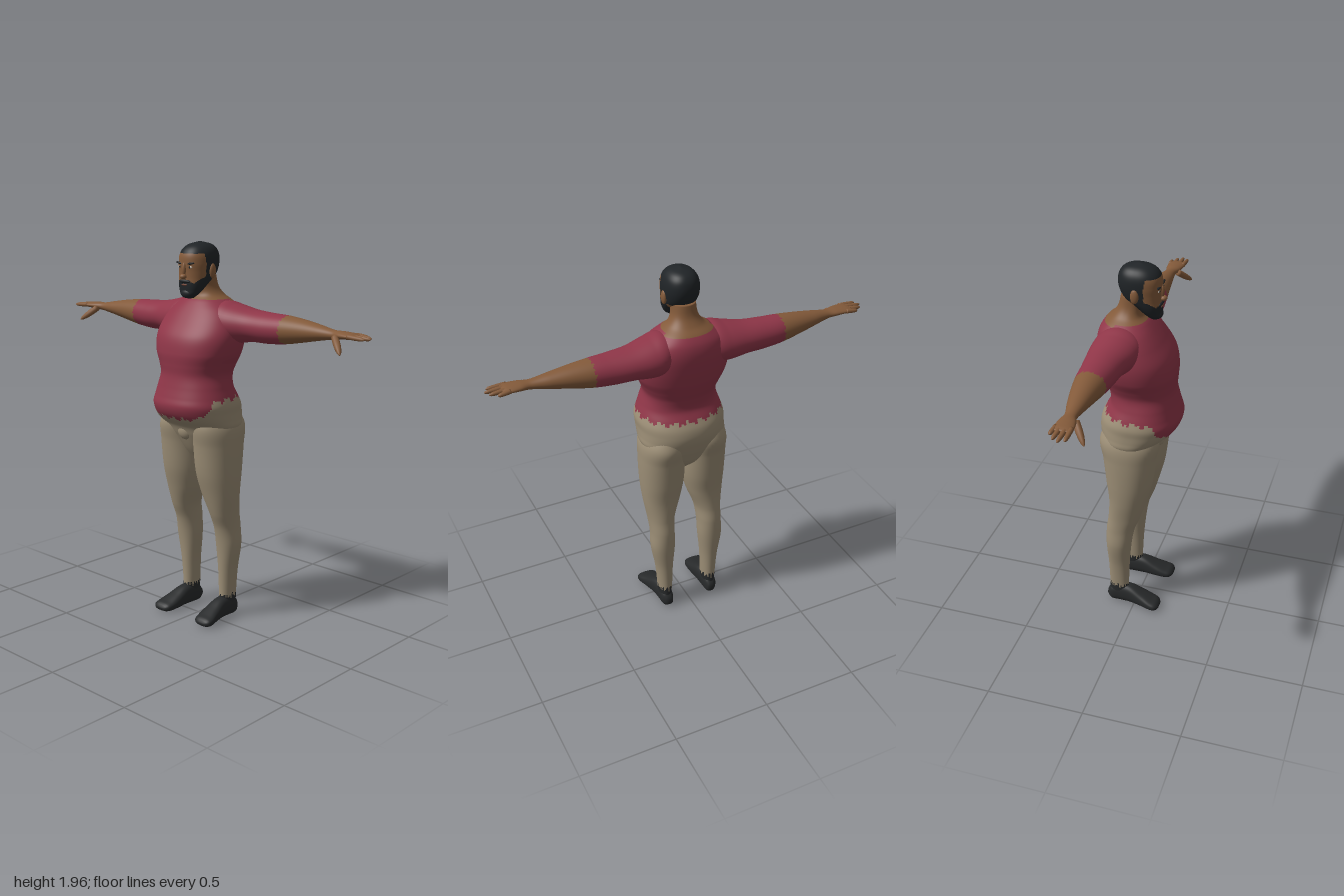
import * as THREE from 'three';

const mat = (name, color) => { const m = new THREE.MeshStandardMaterial({ color }); m.name = name; return m; };
const skin = mat('skin', 0x835a3a);
const shirt = mat('shirt red', 0x8f3648);
const cloth = mat('trouser khaki', 0x9c8e76);
const shoe = mat('shoe black', 0x282a2b);
const hair = mat('hair black', 0x202427);
const white = mat('eye white', 0xb8aea2);
const lip = mat('lip', 0x6b3f30);

// Smooth interpolation of a ring table [t, a0, a1, b0, b1]
function sampleRing(rings, t) {
  let i = 0;
  while (i < rings.length - 2 && t > rings[i + 1][0]) i++;
  const p = rings[i], q = rings[i + 1], h = q[0] - p[0], u = (t - p[0]) / h;
  const o = rings[Math.max(i - 1, 0)], r = rings[Math.min(i + 2, rings.length - 1)];
  return p.map((v, k) => {
    if (!k) return t;
    const m0 = (q[k] - o[k]) / (q[0] - o[0]) * h, m1 = (r[k] - v) / (r[0] - p[0]) * h;
    const u2 = u * u, u3 = u2 * u;
    return (2 * u3 - 3 * u2 + 1) * v + (u3 - 2 * u2 + u) * m0 + (3 * u2 - 2 * u3) * q[k] + (u3 - u2) * m1;
  });
}

// Superellipse loft along axis k (0 x, 1 y, 2 z); pick(x, y, z) chooses a material for each face
function loft(name, k, rings, mats, { pick = () => 0, steps = 40, segs = 40, n = 2 } = {}) {
  const pos = [], lists = mats.map(() => []), t0 = rings[0][0], t1 = rings[rings.length - 1][0];
  for (let i = -1; i <= steps + 1; i++) {
    const f = Math.min(Math.max(i / steps, 0), 1);
    const [t, a0, a1, b0, b1] = sampleRing(rings, t0 + (t1 - t0) * f);
    const size = i < 0 || i > steps ? 0 : 0.5;
    for (let j = 0; j < segs; j++) {
      const w = j / segs * Math.PI * 2, c = Math.cos(w), s = Math.sin(w), p = [];
      p[k] = t;
      p[(k + 2) % 3] = (a0 + a1) / 2 + (a1 - a0) * size * Math.sign(c) * Math.abs(c) ** (2 / n);
      p[(k + 1) % 3] = (b0 + b1) / 2 + (b1 - b0) * size * Math.sign(s) * Math.abs(s) ** (2 / n);
      pos.push(...p);
    }
  }
  for (let i = 0; i < steps + 2; i++) for (let j = 0; j < segs; j++) {
    const j2 = (j + 1) % segs;
    const A = i * segs + j, B = A + segs, C = (i + 1) * segs + j2, D = i * segs + j2;
    const mid = [0, 1, 2].map(d => (pos[A * 3 + d] + pos[B * 3 + d] + pos[C * 3 + d] + pos[D * 3 + d]) / 4);
    lists[pick(...mid)].push(A, B, D, B, C, D);
  }
  const g = new THREE.BufferGeometry();
  g.setAttribute('position', new THREE.Float32BufferAttribute(pos, 3));
  g.setIndex(lists.flat());
  let start = 0;
  lists.forEach((l, m) => { if (mats.length > 1) g.addGroup(start, l.length, m); start += l.length; });
  g.computeVertexNormals();
  return named(name, new THREE.Mesh(g, mats.length > 1 ? mats : mats[0]));
}

const named = (name, o) => { o.name = name; return o; };

function blob(name, material, [x, y, z], [rx, ry, rz], tilt = 0) {
  const g = new THREE.SphereGeometry(1, 20, 14).scale(rx, ry, rz).rotateZ(tilt).translate(x, y, z);
  return named(name, new THREE.Mesh(g, material));
}

// Tapered round finger between two points
function finger(name, from, to, r0, r1) {
  const a = new THREE.Vector3(...from), d = new THREE.Vector3(...to).sub(a), L = d.length();
  const m = loft(name, 1, [[0, -r0, r0, -r0, r0], [L * 0.5, -r0 * 0.95, r0 * 0.95, -r0, r0],
    [L * 0.9, -r1, r1, -r1, r1], [L, -r1 * 0.3, r1 * 0.3, -r1 * 0.3, r1 * 0.3]], [skin], { steps: 10, segs: 12 });
  const q = new THREE.Quaternion().setFromUnitVectors(new THREE.Vector3(0, 1, 0), d.normalize());
  m.geometry.applyQuaternion(q).translate(a.x, a.y, a.z);
  return m;
}

// Copy of a mesh reflected across x = 0
function mirrored(mesh) {
  const g = mesh.geometry.clone().scale(-1, 1, 1), ix = g.index.array;
  for (let i = 0; i < ix.length; i += 3) [ix[i], ix[i + 1]] = [ix[i + 1], ix[i]];
  g.computeVertexNormals();
  return named(mesh.name.replace('left', 'right'), new THREE.Mesh(g, mesh.material));
}

const sym = rows => rows.map(([y, w, back, front]) => [y, -w, w, back, front]);
const ragged = a => Math.sin(a * 17) * 0.6 + Math.sin(a * 41 + 1) * 0.4;

export function createModel() {
  const model = named('figure', new THREE.Group());

  // Torso: trousers below the ragged hem, skin above the neckline
  model.add(loft('torso', 1, sym([
    [0.86, 0.04, -0.07, 0.03], [0.92, 0.11, -0.13, 0.07], [1.0, 0.2, -0.17, 0.11], [1.05, 0.226, -0.188, 0.135],
    [1.085, 0.226, -0.198, 0.175], [1.12, 0.225, -0.2, 0.2], [1.16, 0.226, -0.192, 0.21], [1.2, 0.215, -0.172, 0.2],
    [1.25, 0.198, -0.148, 0.187], [1.31, 0.185, -0.155, 0.176], [1.36, 0.2, -0.172, 0.178], [1.42, 0.227, -0.19, 0.18],
    [1.5, 0.238, -0.205, 0.163], [1.575, 0.225, -0.21, 0.115], [1.63, 0.19, -0.2, 0.075], [1.67, 0.135, -0.175, 0.042],
    [1.7, 0.09, -0.142, 0.012], [1.74, 0.066, -0.115, 0.01], [1.8, 0.06, -0.1, 0.03]]),
  [shirt, cloth, skin], {
    steps: 180, segs: 112, n: 2.25,
    pick: (x, y, z) => {
      if (y > 1.682 - (z < -0.1 ? 0.012 : 0)) return 2;
      const hem = 1.095 + 0.1 * THREE.MathUtils.smoothstep(0.18 - z, 0, 0.1);
      return y < hem + 0.016 * ragged(Math.atan2(z, x)) ? 1 : 0;
    },
  }));
  model.add(blob('trouserFront', cloth, [0, 1.02, 0.09], [0.05, 0.05, 0.035]));

  const left = [];

  // Leg with ragged ankle cuff, then the foot
  left.push(loft('leftLeg', 1, [
    [0.06, 0.1, 0.165, -0.14, -0.03], [0.12, 0.094, 0.168, -0.14, -0.035], [0.26, 0.088, 0.18, -0.144, -0.03],
    [0.4, 0.075, 0.203, -0.152, -0.018], [0.5, 0.073, 0.201, -0.15, 0], [0.58, 0.065, 0.206, -0.139, 0.03],
    [0.69, 0.027, 0.221, -0.136, 0.062], [0.8, 0.004, 0.23, -0.15, 0.09], [0.95, -0.002, 0.233, -0.167, 0.11],
    [1.04, 0, 0.227, -0.184, 0.122], [1.12, 0.02, 0.19, -0.16, 0.1]],
  [cloth, shoe], {
    steps: 130, segs: 48, n: 2.1,
    pick: (x, y, z) => (y < 0.12 + 0.02 * ragged(Math.atan2(z + 0.085, x - 0.13)) ? 1 : 0),
  }));
  left.push(loft('leftFoot', 2, [
    [-0.152, 0.02, 0.06, 0.11, 0.145], [-0.13, 0.002, 0.09, 0.1, 0.163], [-0.08, 0.001, 0.11, 0.095, 0.168],
    [-0.02, 0.003, 0.108, 0.091, 0.175], [0.05, 0.001, 0.078, 0.087, 0.19], [0.1, 0, 0.056, 0.09, 0.201],
    [0.13, 0.004, 0.044, 0.1, 0.198], [0.143, 0.013, 0.03, 0.12, 0.18]], [shoe], { n: 2.5 }));

  // Arm: sleeve to the elbow, bare forearm and palm
  left.push(loft('leftArm', 0, [
    [0.06, -0.15, 0.0, 1.5, 1.66], [0.14, -0.19, 0.045, 1.47, 1.675], [0.2, -0.198, 0.04, 1.468, 1.662],
    [0.3, -0.19, 0.01, 1.482, 1.642], [0.4, -0.18, -0.003, 1.483, 1.634], [0.5, -0.17, -0.015, 1.492, 1.63],
    [0.6, -0.152, -0.028, 1.51, 1.62], [0.7, -0.13, -0.04, 1.53, 1.605], [0.79, -0.108, -0.049, 1.546, 1.59],
    [0.84, -0.115, -0.034, 1.552, 1.59], [0.9, -0.118, -0.026, 1.558, 1.586], [0.925, -0.112, -0.032, 1.565, 1.58]],
  [shirt, skin], {
    steps: 150, segs: 48,
    pick: (x, y, z) => (x > 0.5 + 0.006 * ragged(Math.atan2(y - 1.56, z + 0.09)) ? 1 : 0),
  }));
  [[-0.108, -0.115, 0.952], [-0.085, -0.09, 0.985], [-0.06, -0.062, 1.0], [-0.037, -0.034, 0.985]].forEach(([z0, z1, x], i) =>
    left.push(finger('leftFinger' + (i + 1), [0.89, 1.573, z0], [x, 1.568, z1], 0.0115, 0.008)));
  left.push(finger('leftThumb', [0.815, 1.562, -0.045], [0.89, 1.495, 0.016], 0.017, 0.009));

  // Ear, eye and eyebrow
  left.push(blob('leftEar', skin, [0.086, 1.822, -0.012], [0.012, 0.036, 0.021]));
  left.push(blob('leftEye', white, [0.034, 1.842, 0.0935], [0.014, 0.0055, 0.004]));
  left.push(blob('leftPupil', hair, [0.033, 1.842, 0.0965], [0.0055, 0.0055, 0.003]));
  left.push(blob('leftEyebrow', hair, [0.037, 1.86, 0.094], [0.025, 0.0055, 0.007], 0.15));

  left.forEach(m => model.add(m, mirrored(m)));

  // Head: cropped hair, sideburns, beard and moustache
  model.add(loft('head', 1, sym([
    [1.688, 0.022, 0.045, 0.085], [1.705, 0.046, 0.03, 0.098], [1.73, 0.062, 0, 0.1], [1.76, 0.074, -0.035, 0.101],
    [1.79, 0.081, -0.078, 0.1], [1.82, 0.085, -0.1, 0.1], [1.86, 0.088, -0.113, 0.101], [1.9, 0.084, -0.112, 0.096],
    [1.93, 0.07, -0.098, 0.077], [1.95, 0.045, -0.07, 0.045], [1.962, 0.004, -0.02, 0]]),
  [skin, hair], {
    steps: 110, segs: 112, n: 2.25,
    pick: (x, y, z) => {
      const ax = Math.abs(x);
      const scalp = y > 1.908 || (z < 0.035 && y > 1.865) || (z < -0.02 && y > 1.79);
      const sideburn = z < 0.03 && z > -0.02 && y > 1.745;
      const beard = z > -0.02 && y < 1.752 + Math.max(0, ax - 0.045) * 1.2;
      const moustache = z > 0 && ax < 0.05 && y < 1.782 - ax * 0.35;
      return scalp || sideburn || beard || moustache ? 1 : 0;
    },
  }));
  model.add(blob('noseBridge', skin, [0, 1.83, 0.1], [0.011, 0.034, 0.012]));
  model.add(blob('noseTip', skin, [0, 1.796, 0.108], [0.018, 0.013, 0.017]));
  model.add(blob('moustache', hair, [0, 1.772, 0.098], [0.038, 0.009, 0.01]));
  model.add(blob('mouth', lip, [0, 1.755, 0.1], [0.02, 0.005, 0.006]));
  model.add(blob('chinBeard', hair, [0, 1.712, 0.083], [0.036, 0.024, 0.022]));

  return model;
}
